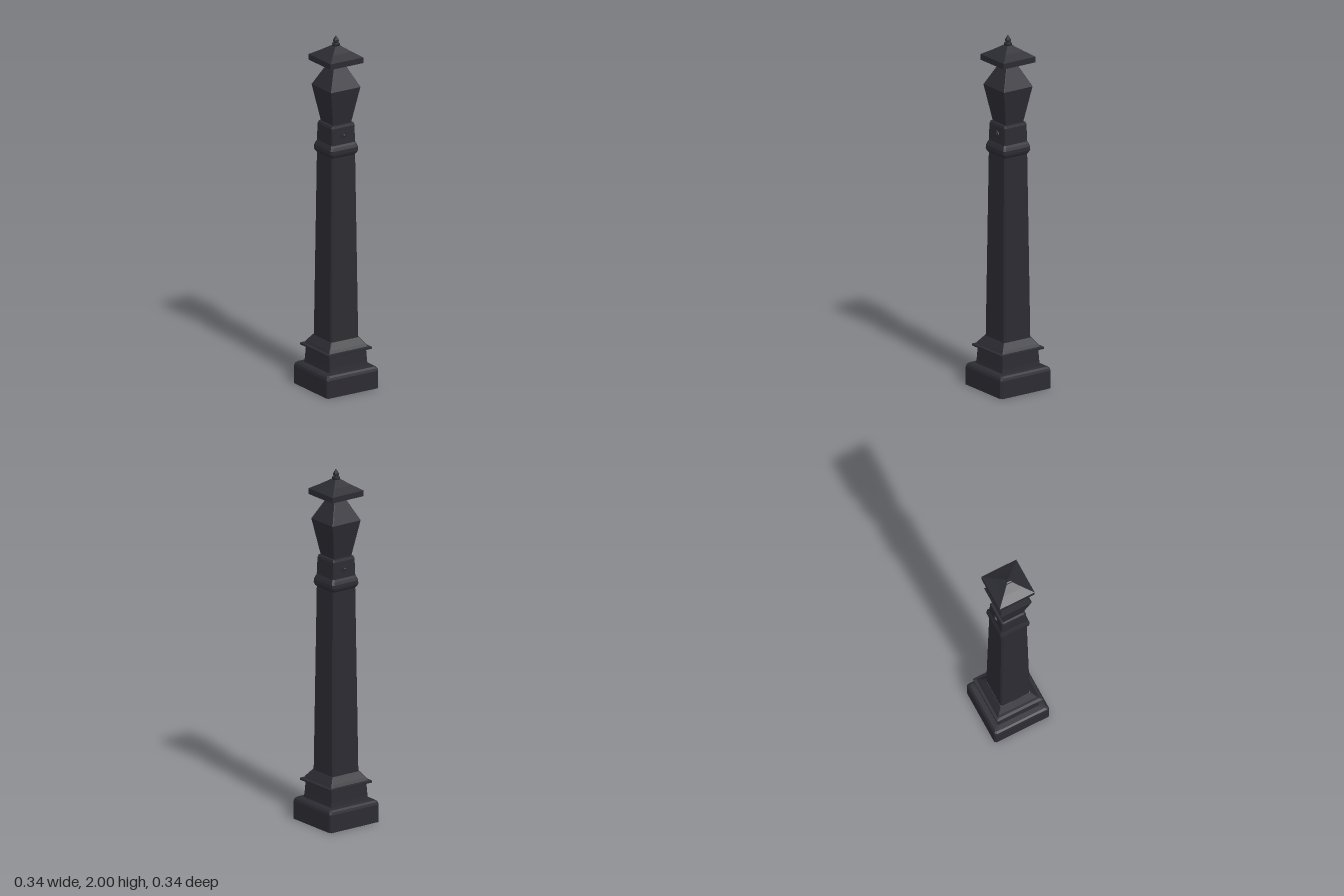
import * as THREE from 'three';

// Square-section loft: rows of [y, half width], corners cut by a small bevel
function squareLoft(rows, bevel) {
  const ring = ([y, r]) => {
    const k = r - Math.min(bevel, r * 0.3);
    return [[-k, r], [k, r], [r, k], [r, -k], [k, -r], [-k, -r], [-r, -k], [-r, k]]
      .map(([x, z]) => [x, y, z]);
  };
  const pos = [];
  for (let j = 0; j < rows.length - 1; j++) {
    const lo = ring(rows[j]), hi = ring(rows[j + 1]);
    for (let i = 0; i < 8; i++) {
      const n = (i + 1) % 8;
      pos.push(...lo[i], ...lo[n], ...hi[n], ...lo[i], ...hi[n], ...hi[i]);
    }
  }
  const geo = new THREE.BufferGeometry();
  geo.setAttribute('position', new THREE.Float32BufferAttribute(pos, 3));
  geo.computeVertexNormals();
  return geo;
}

export function createModel() {
  const iron = new THREE.MeshStandardMaterial({ color: 0x2b2b32, side: THREE.DoubleSide });
  iron.name = 'dark iron';
  const model = new THREE.Group();
  model.name = 'bollard';

  const add = (name, geo, parent = model) => {
    const mesh = new THREE.Mesh(geo, iron);
    mesh.name = name;
    parent.add(mesh);
    return mesh;
  };

  // Hollow foot, open underneath
  add('base', squareLoft([[0, 0.168], [0.1, 0.168], [0.114, 0.164], [0.123, 0.154], [0.125, 0.126]], 0.009));
  add('plinth', squareLoft([[0.125, 0.126], [0.15, 0.123], [0.215, 0.119]], 0.004));
  add('plinthMoulding', squareLoft([[0.215, 0.119], [0.222, 0.141], [0.232, 0.141], [0.235, 0.126],
    [0.25, 0.117], [0.285, 0.091]], 0.004));

  // Tapering shaft and its collar
  add('shaft', squareLoft([[0.285, 0.09], [1.335, 0.078]], 0.009));
  add('collar', squareLoft([[1.33, 0.078], [1.338, 0.085], [1.352, 0.09], [1.372, 0.089],
    [1.388, 0.083], [1.4, 0.077]], 0.009));
  add('neck', squareLoft([[1.4, 0.077], [1.495, 0.074], [1.508, 0.07], [1.51, 0.059]], 0.006));

  // Rosettes on the front and back of the neck
  for (const side of [1, -1]) {
    const rosette = new THREE.Group();
    rosette.name = side > 0 ? 'frontRosette' : 'backRosette';
    rosette.position.set(0, 1.45, side * 0.076);
    add('rosetteDisc', new THREE.CylinderGeometry(0.02, 0.022, 0.01, 12), rosette).rotation.x = side * Math.PI / 2;
    add('rosetteBoss', new THREE.SphereGeometry(0.01, 10, 6), rosette);
    model.add(rosette);
  }

  // Diamond head, overhanging roof and finial
  add('head', squareLoft([[1.51, 0.06], [1.713, 0.096], [1.83, 0.038]], 0.002));
  add('roof', squareLoft([[1.83, 0.038], [1.845, 0.05], [1.851, 0.107], [1.883, 0.107],
    [1.912, 0.061], [1.943, 0.017]], 0.001));
  add('finial', squareLoft([[1.943, 0.013], [1.947, 0.017], [1.955, 0.017], [1.959, 0.01],
    [1.966, 0.013], [1.976, 0.012], [1.988, 0.007], [2, 0.001]], 0.003));

  return model;
}
